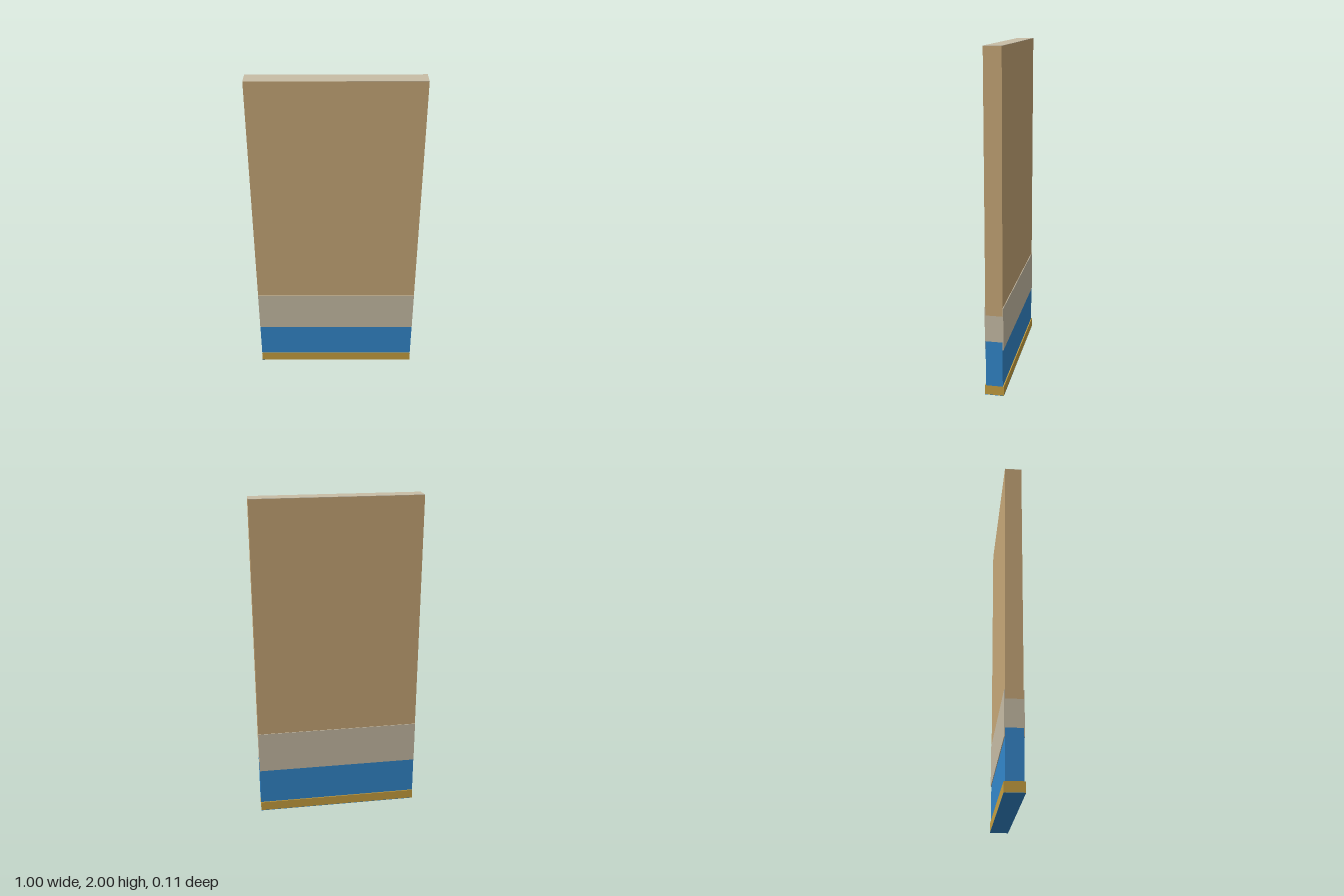
import * as THREE from 'three';

const material = (color) => new THREE.MeshStandardMaterial({ color });

export function createModel() {
  const model = new THREE.Group();
  const tan = material(0xc8a878);
  const beige = material(0xc8bda6);
  const blue = material(0x3388cc);
  const gold = material(0xc8a040);

  // Full-width slab between two heights and two depths
  function slab(name, mat, y0, y1, z0, z1) {
    const mesh = new THREE.Mesh(new THREE.BoxGeometry(1, y1 - y0, z1 - z0), mat);
    mesh.name = name;
    mesh.position.set(0, (y0 + y1) / 2, (z0 + z1) / 2);
    model.add(mesh);
  }

  // Core layers, bottom to top
  const core = 0.05;
  slab('lowerCore', blue, 0.06, 0.34, -core, core);
  slab('middleCore', beige, 0.34, 0.5, -core, core);
  slab('upperPanel', tan, 0.5, 1.998, -core, core);
  slab('topCap', beige, 1.998, 2, -core, core);

  // Raised bands on the front and back faces
  slab('frontBand', beige, 0.29, 0.55, core, 0.054);
  slab('backBand', beige, 0.29, 0.55, -0.054, -core);

  // Bottom trim with a thin sole beneath
  slab('bottomTrim', gold, 0.002, 0.06, -0.056, 0.056);
  slab('sole', blue, 0, 0.002, -0.056, 0.056);

  return model;
}
